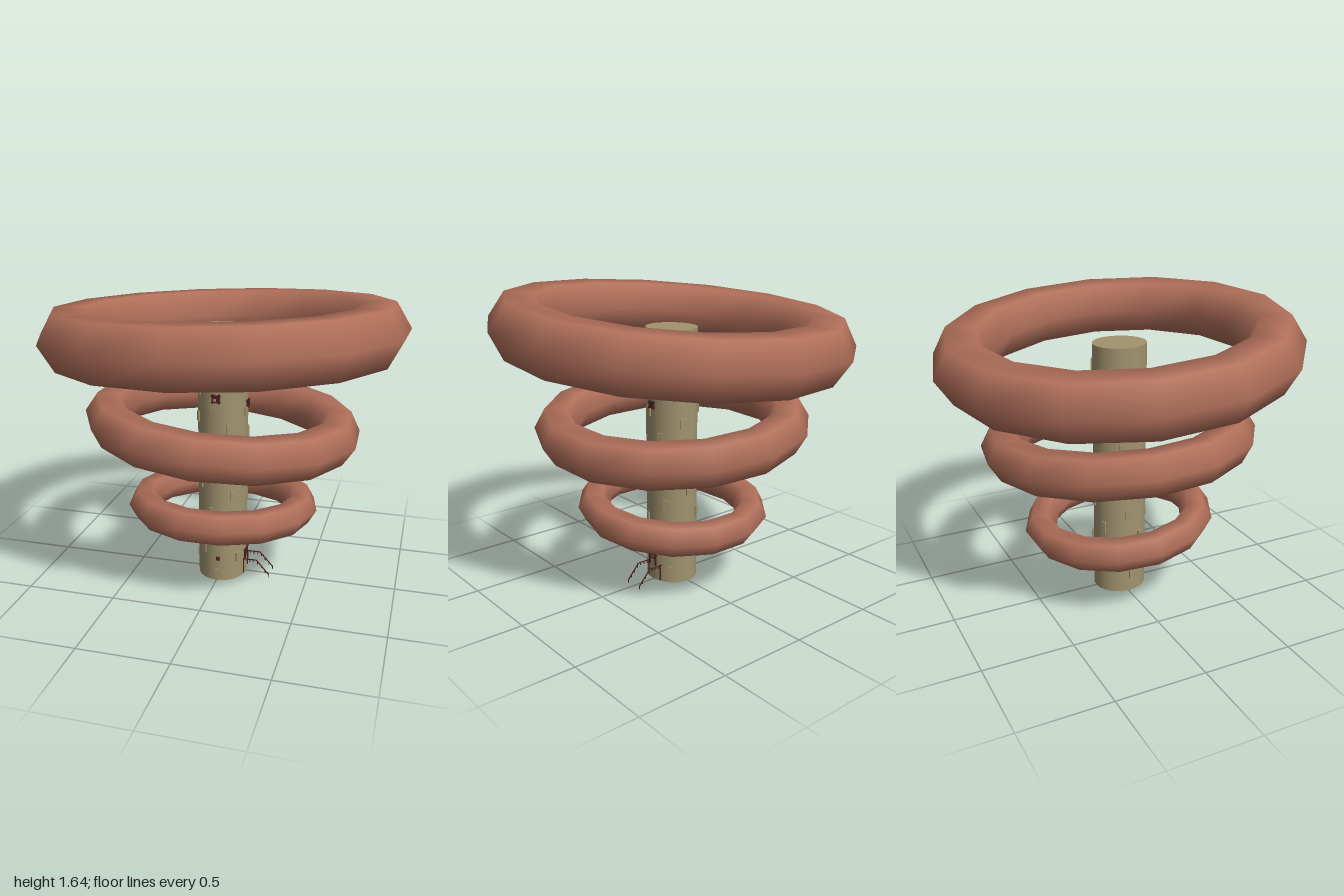
import * as THREE from 'three';

const clay = new THREE.MeshStandardMaterial({ color: 0xb06f5a });
const stone = new THREE.MeshStandardMaterial({ color: 0xa0936f });
const dark = new THREE.MeshStandardMaterial({ color: 0x4a2020 });

// Column is slightly oval
const RX = 0.138, RZ = 0.15, CZ = 0.007, HEIGHT = 1.45;

function add(parent, name, geometry, material) {
  const mesh = new THREE.Mesh(geometry, material);
  mesh.name = name;
  parent.add(mesh);
  return mesh;
}

// Six-sided tube bent into a 14-sided ring; slopes give the tilt along x and z
function ring(parent, name, R, r, y, slopeX, slopeZ, turn) {
  const g = new THREE.TorusGeometry(R, r, 6, 14);
  g.rotateX(Math.PI / 2);
  g.rotateY(-THREE.MathUtils.degToRad(turn));
  const m = add(parent, name, g, clay);
  m.position.y = y;
  const normal = new THREE.Vector3(-slopeX, 1, -slopeZ).normalize();
  m.quaternion.setFromUnitVectors(new THREE.Vector3(0, 1, 0), normal);
}

// Put an object on the column wall, facing out; angle runs from front (+z) to +x
function onWall(object, angle, y, out = 0) {
  object.position.set(Math.sin(angle) * (RX + out), y, CZ + Math.cos(angle) * (RZ + out));
  object.rotation.y = angle;
}

// Bar between two points in a plane of constant z
function bar(parent, name, x0, y0, x1, y1, z, t) {
  const m = add(parent, name, new THREE.BoxGeometry(Math.hypot(x1 - x0, y1 - y0), t, t), dark);
  m.position.set((x0 + x1) / 2, (y0 + y1) / 2, z);
  m.rotation.z = Math.atan2(y1 - y0, x1 - x0);
}

// Small square window with a pane and overlapping frame bars
function windowAt(parent, angle, y, size) {
  const w = new THREE.Group();
  w.name = 'window';
  add(w, 'pane', new THREE.BoxGeometry(size, size, 0.012), dark);
  for (const s of [-1, 1]) {
    const b = size * 0.22;
    add(w, 'frameBar', new THREE.BoxGeometry(size * 1.5, b, 0.02), dark).position.y = s * size * 0.5;
    add(w, 'framePost', new THREE.BoxGeometry(b, size * 1.5, 0.02), dark).position.x = s * size * 0.5;
  }
  onWall(w, angle, y);
  parent.add(w);
}

export function createModel() {
  const model = new THREE.Group();
  model.name = 'ringedTower';

  // Column
  const column = add(model, 'column', new THREE.CylinderGeometry(1, 1, HEIGHT, 24), stone);
  column.scale.set(RX, 1, RZ);
  column.position.set(0, HEIGHT / 2, CZ);

  // Three tilted rings
  ring(model, 'topRing', 0.832, 0.166, 1.425, 0.043, 0.07, 14.5);
  ring(model, 'middleRing', 0.643, 0.122, 0.92, -0.073, 0.04, 10.5);
  ring(model, 'lowerRing', 0.45, 0.09, 0.432, 0, 0.09, 0);

  // Raised stones scattered over the column wall
  let seed = 11;
  const rand = () => (seed = (seed * 16807) % 2147483647) / 2147483647;
  const stones = new THREE.Group();
  stones.name = 'raisedStones';
  model.add(stones);
  const place = (angle, y, w, h) =>
    onWall(add(stones, 'raisedStone', new THREE.BoxGeometry(w, h, 0.014), stone), angle, y);
  place(0.66, 1.22, 0.03, 0.1);
  place(-0.57, 0.75, 0.02, 0.07);
  place(0.98, 0.25, 0.025, 0.06);
  place(-0.86, 1.11, 0.025, 0.03);
  for (let i = 0; i < 44; i++) {
    place(i * 2.4, 0.05 + (i / 44) * 1.3, 0.018 + rand() * 0.018, 0.025 + rand() * 0.06);
  }

  // Windows on the front and the left side
  const H = Math.PI / 2;
  for (const [angle, y, size] of [
    [0, 1.09, 0.034], [-0.6, 0.66, 0.016], [0.07, 0.31, 0.015], [0.07, 0.14, 0.015],
    [H, 1.035, 0.03], [H - 0.06, 0.7, 0.015], [H + 0.4, 0.6, 0.015],
  ]) windowAt(model, angle, y, size);

  // Doorway on the left side
  const door = new THREE.Group();
  door.name = 'doorway';
  for (const s of [-1, 1]) {
    add(door, 'doorPost', new THREE.BoxGeometry(0.007, 0.065, 0.012), dark).position.x = s * 0.026;
  }
  add(door, 'lintel', new THREE.BoxGeometry(0.075, 0.007, 0.015), dark).position.y = 0.032;
  add(door, 'crossBar', new THREE.BoxGeometry(0.055, 0.006, 0.012), dark).position.y = 0.012;
  onWall(door, H, 0.12);
  model.add(door);

  // Pair of handrails leading from the doorway down to the ground
  const rails = new THREE.Group();
  rails.name = 'stairRails';
  for (const z of [-0.055, 0.05]) {
    bar(rails, 'landingRail', 0.12, 0.1, 0.21, 0.1, z, 0.005);
    bar(rails, 'slopedRail', 0.21, 0.1, 0.285, 0.016, z, 0.005);
    for (let i = 0; i < 7; i++) {
      const x = 0.15 + i * 0.0225;
      const y = x < 0.21 ? 0.1 : 0.1 - (x - 0.21) * 1.12;
      bar(rails, 'railPost', x, y, x, y - 0.016, z, 0.004);
    }
    // Upright against the wall
    bar(rails, 'wallPost', 0.134, 0.01, 0.134, 0.1, z, 0.006);
  }
  model.add(rails);

  return model;
}
